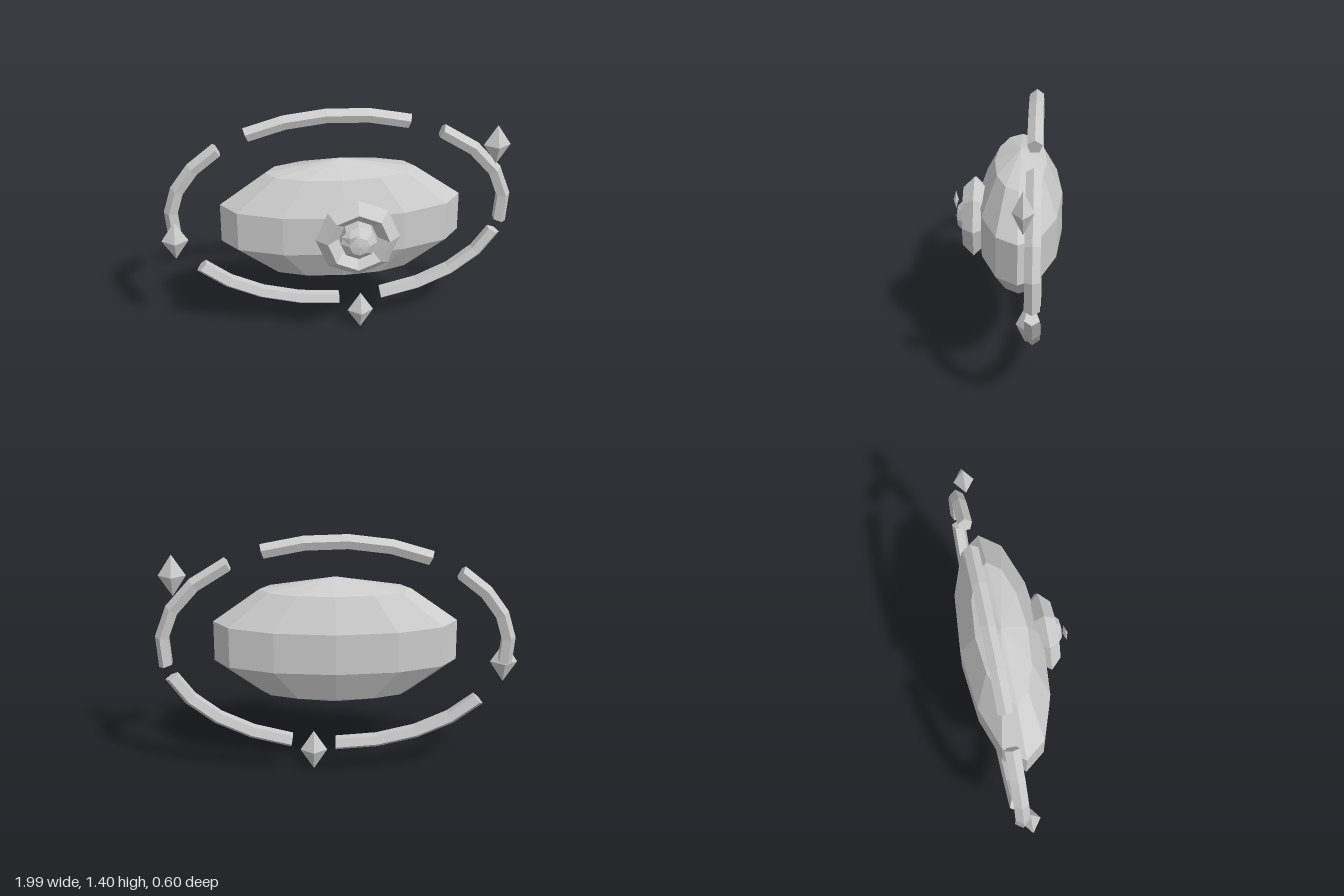
import * as THREE from 'three';

const material = new THREE.MeshStandardMaterial({ color: 0xcccccc, flatShading: true });

// Segment of an elliptical ring with a pentagonal section pointing outwards
function arcGeometry(startDeg, endDeg, rx, ry, r) {
  const steps = 4, sides = 5, pos = [], index = [];
  for (let i = 0; i <= steps; i++) {
    const t = THREE.MathUtils.degToRad(startDeg + (endDeg - startDeg) * i / steps);
    const n = new THREE.Vector2(Math.cos(t) / rx, Math.sin(t) / ry).normalize();
    for (let j = 0; j < sides; j++) {
      const a = j / sides * Math.PI * 2;
      const out = Math.cos(a) * r;
      pos.push(rx * Math.cos(t) + n.x * out, ry * Math.sin(t) + n.y * out, Math.sin(a) * r);
    }
  }
  for (let i = 0; i < steps; i++) {
    for (let j = 0; j < sides; j++) {
      const a = i * sides + j, b = i * sides + (j + 1) % sides;
      index.push(a, a + sides, b, b, a + sides, b + sides);
    }
  }
  // End caps
  const last = steps * sides;
  for (let j = 1; j < sides - 1; j++) {
    index.push(0, j, j + 1, last, last + j + 1, last + j);
  }
  const g = new THREE.BufferGeometry();
  g.setAttribute('position', new THREE.Float32BufferAttribute(pos, 3));
  g.setIndex(index);
  const flat = g.toNonIndexed();
  flat.computeVertexNormals();
  return flat;
}

export function createModel() {
  const group = new THREE.Group();
  const add = (name, geometry, x, y, z) => {
    const mesh = new THREE.Mesh(geometry, material);
    mesh.name = name;
    mesh.position.set(x, y, z);
    group.add(mesh);
    return mesh;
  };

  // Faceted eyeball
  add('eyeball', new THREE.SphereGeometry(1, 12, 5).scale(0.705, 0.37, 0.242), 0.01, 0.78, -0.07);

  // Iris ring, domed pupil and glint
  add('iris', new THREE.TorusGeometry(0.17, 0.062, 4, 8), 0.08, 0.78, 0.18);
  const pupilProfile = [[0, -0.07], [0.1, -0.04], [0.1, 0.03], [0.055, 0.07], [0, 0.078]]
    .map(([x, y]) => new THREE.Vector2(x, y));
  add('pupil', new THREE.LatheGeometry(pupilProfile, 8).rotateX(Math.PI / 2), 0.08, 0.78, 0.205);
  add('glint', new THREE.OctahedronGeometry(1).scale(0.045, 0.055, 0.015), 0.024, 0.85, 0.288);

  // Broken ring around the eye
  const arcs = [[65.5, 122.8], [-10.7, 52.5], [-75, -17.5], [-147, -90], [135.5, 190]];
  for (const [start, end] of arcs) {
    add('ringSegment', arcGeometry(start, end, 0.945, 0.59, 0.042), 0.01, 0.78, -0.15);
  }

  // Crystals set on the ring
  for (const [x, y] of [[0.89, 1.17], [-0.923, 0.66], [0.133, 0.125]]) {
    add('crystal', new THREE.OctahedronGeometry(1).scale(0.076, 0.118, 0.056), x, y, -0.103);
  }
  return group;
}
